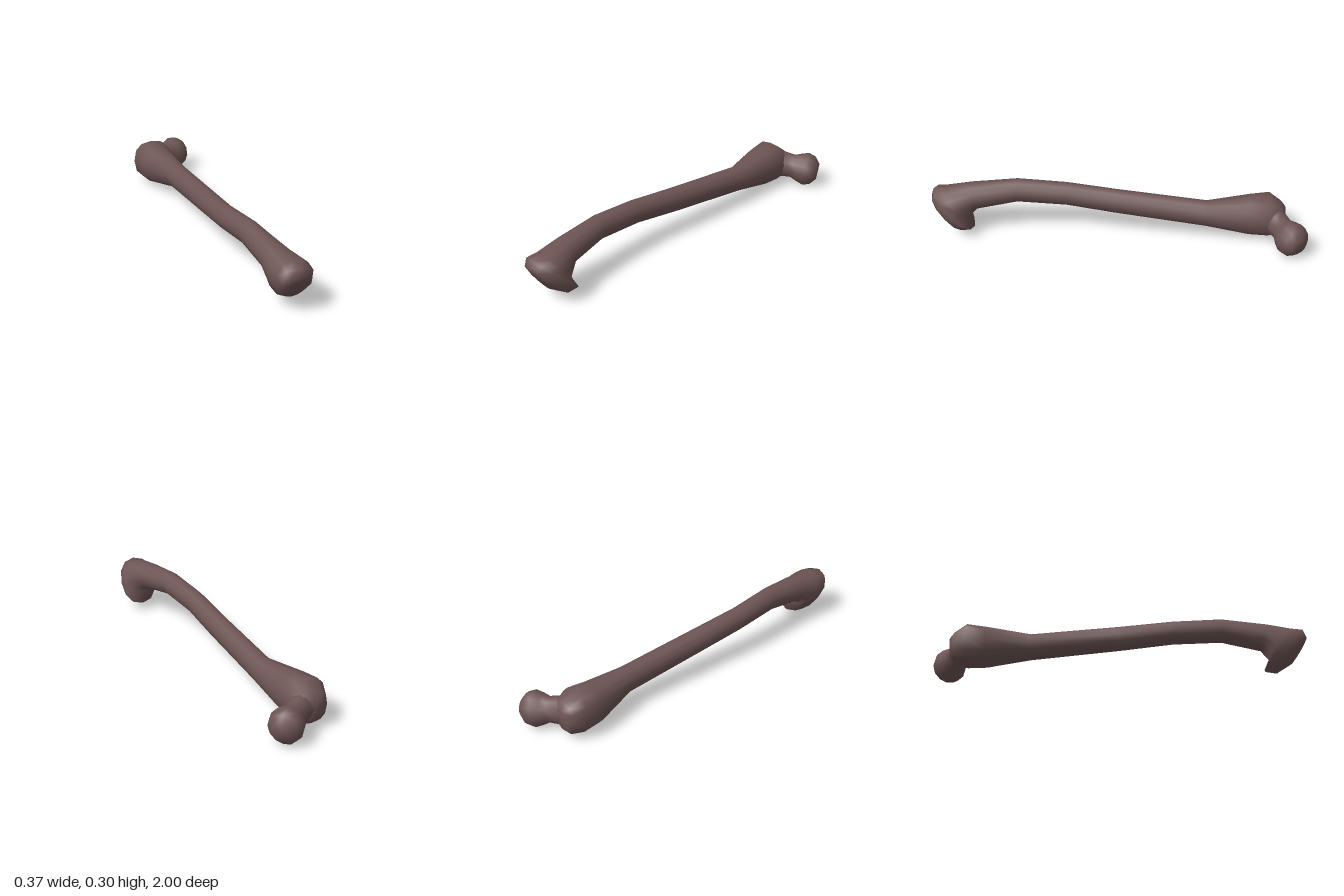
import * as THREE from 'three';

const SIDES = 12;
const V = (x, y, z) => new THREE.Vector3(x, y, z);

// Skin a closed surface over rings {c, u, v, p}; rings advance along u x v
function loft(rings) {
  const pos = [], index = [];
  for (const { c, u, v, p } of rings) {
    for (let i = 0; i < SIDES; i++) {
      const a = (i / SIDES) * Math.PI * 2;
      const round = (t) => Math.sign(t) * Math.pow(Math.abs(t) < 1e-9 ? 0 : Math.abs(t), p);
      const q = c.clone().addScaledVector(u, round(Math.cos(a))).addScaledVector(v, round(Math.sin(a)));
      pos.push(q.x, q.y, q.z);
    }
  }
  for (let r = 0; r < rings.length - 1; r++) {
    for (let i = 0; i < SIDES; i++) {
      const j = (i + 1) % SIDES, a = r * SIDES, b = a + SIDES;
      index.push(a + i, a + j, b + j, a + i, b + j, b + i);
    }
  }
  // end caps
  const first = rings[0].c, last = rings[rings.length - 1].c;
  const s = rings.length * SIDES, e = (rings.length - 1) * SIDES;
  pos.push(first.x, first.y, first.z, last.x, last.y, last.z);
  for (let i = 0; i < SIDES; i++) {
    const j = (i + 1) % SIDES;
    index.push(s, j, i, s + 1, e + i, e + j);
  }
  const g = new THREE.BufferGeometry();
  g.setAttribute('position', new THREE.Float32BufferAttribute(pos, 3));
  g.setIndex(index);
  g.computeVertexNormals();
  return g;
}

// Ring of the shaft from its top and bottom points and its x range
function shaftRing([topZ, topY, botZ, botY, x0, x1, p = 1, lean = 0]) {
  return {
    c: V((x0 + x1) / 2, (topY + botY) / 2, (topZ + botZ) / 2),
    u: V((x1 - x0) / 2, 0, 0),
    v: V(-lean, (topY - botY) / 2, (topZ - botZ) / 2),
    p,
  };
}

export function createModel() {
  const group = new THREE.Group();
  group.name = 'thighBone';
  const material = new THREE.MeshStandardMaterial({ color: 0x6e5555 });
  const add = (name, rings) => {
    const mesh = new THREE.Mesh(loft(rings), material);
    mesh.name = name;
    group.add(mesh);
  };

  // Shaft, from the boxy rear knob to the hooked knee end
  add('shaft', [
    [-0.89, 0.17, -0.885, 0.06, -0.13, -0.04, 0.75],
    [-0.865, 0.2, -0.865, 0.035, -0.158, 0.01, 0.75],
    [-0.80, 0.245, -0.80, 0.022, -0.185, 0.03, 0.8],
    [-0.70, 0.235, -0.70, 0.025, -0.172, 0.028, 0.85],
    [-0.47, 0.216, -0.47, 0.075, -0.102, 0.025],
    [0, 0.256, 0, 0.125, -0.106, 0.013],
    [0.28, 0.283, 0.28, 0.158, -0.111, 0.002],
    [0.54, 0.306, 0.54, 0.178, -0.092, 0.023],
    [0.79, 0.284, 0.75, 0.145, -0.082, 0.068, 0.95],
    [0.92, 0.264, 0.795, 0.105, -0.086, 0.115, 0.9],
    [0.985, 0.256, 0.77, 0.05, -0.08, 0.132, 0.9, 0.02],
    [1.0, 0.215, 0.83, 0.037, -0.066, 0.112, 0.9, 0.02],
    [0.985, 0.185, 0.91, 0.075, -0.035, 0.065, 0.9],
  ].map(shaftRing));

  // Neck and ball head, branching sideways and back: distance, width, height
  const start = V(-0.06, 0.125, -0.815), axis = V(0.165, -0.026, -0.105).normalize();
  const up = V(0, 1, 0).addScaledVector(axis, -axis.y).normalize();
  const side = up.clone().cross(axis);
  add('neckAndHead', [
    [0, 0.07, 0.085], [0.07, 0.062, 0.073], [0.115, 0.06, 0.068], [0.15, 0.078, 0.082],
    [0.19, 0.089, 0.096], [0.23, 0.08, 0.084], [0.262, 0.045, 0.046],
  ].map(([d, w, h]) => ({
    c: start.clone().addScaledVector(axis, d),
    u: side.clone().multiplyScalar(w),
    v: up.clone().multiplyScalar(h),
    p: 1,
  })));

  return group;
}
